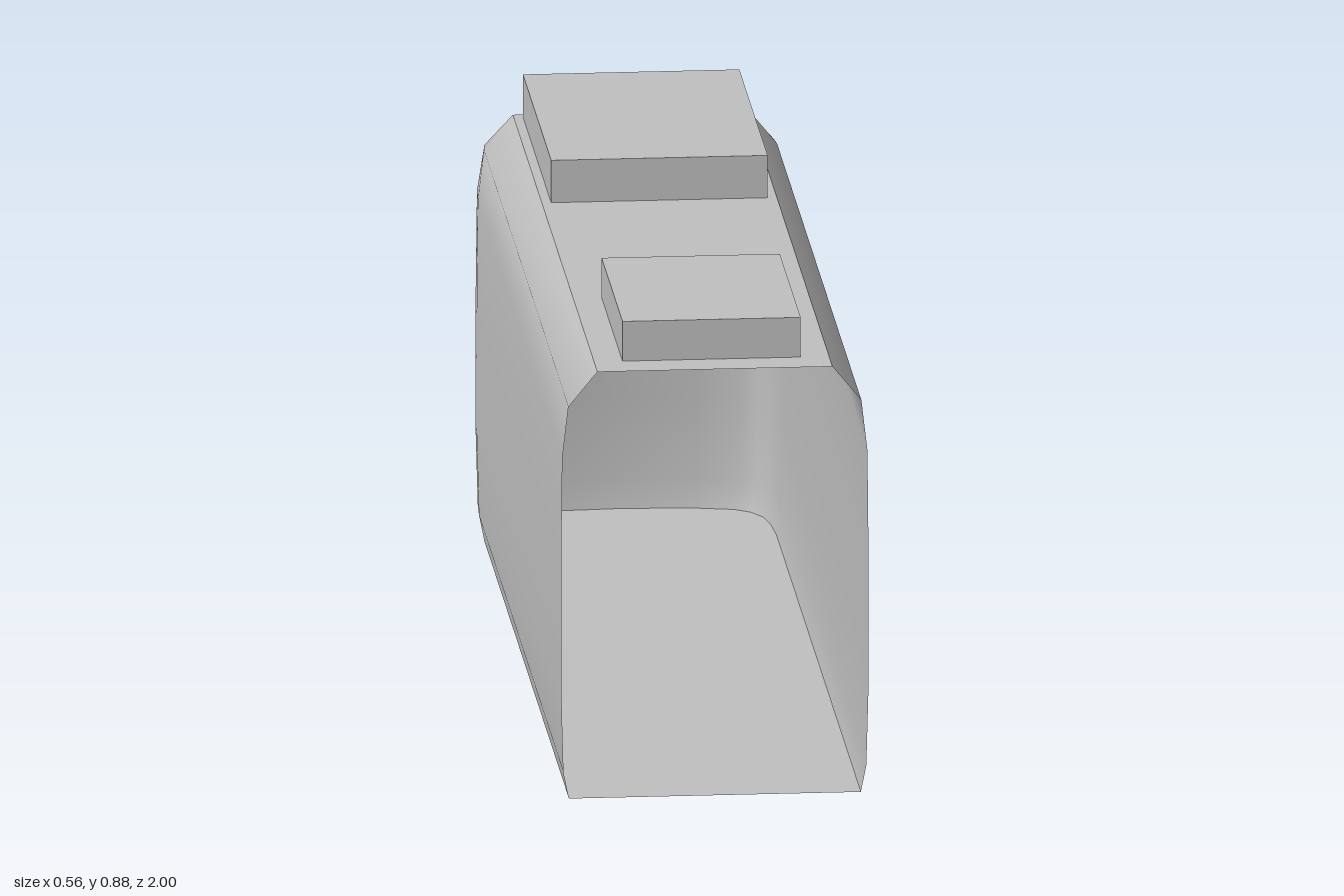
import * as THREE from 'three';

// Shell rows from floor to roof: height, half width, depth of the rounded end
const ROWS = [
  [0, 0.267, 0.205], [0.05, 0.277, 0.214], [0.2, 0.281, 0.22], [0.45, 0.281, 0.208],
  [0.645, 0.279, 0.195], [0.74, 0.268, 0.1], [0.805, 0.215, 0],
];
// Half plan of the rounded end: fraction of half width, fraction of depth
const PLAN = [[1, 0], [0.985, 0.35], [0.95, 0.6], [0.88, 0.77], [0.77, 0.88], [0.48, 0.965], [0, 1]];
const FRONT = 1, JOIN = -0.78, ROOF = 0.805;

// Smooth sheet through a grid of points; rows go up, columns go right seen from outside
function sheet(points) {
  const n = points[0].length, index = [];
  for (let r = 0; r < points.length - 1; r++) {
    for (let c = 0; c < n - 1; c++) {
      const a = r * n + c, b = a + 1, d = a + n, e = d + 1;
      index.push(a, b, e, a, e, d);
    }
  }
  const geometry = new THREE.BufferGeometry();
  geometry.setAttribute('position', new THREE.Float32BufferAttribute(points.flat(2), 3));
  geometry.setIndex(index);
  geometry.computeVertexNormals();
  return geometry;
}

// One row of the rounded end, running from left (+x) to right (-x)
function endRow([y, w, d]) {
  const left = PLAN.map(([fx, fz]) => [fx * w, y, JOIN - fz * d]);
  const right = left.slice(0, -1).reverse().map(([x, h, z]) => [-x, h, z]);
  return [...left, ...right];
}

export function createModel() {
  const model = new THREE.Group();
  const grey = new THREE.MeshStandardMaterial({ color: 0xbfbfbf, side: THREE.DoubleSide });
  grey.name = 'grey';
  const add = (name, geometry) => {
    const mesh = new THREE.Mesh(geometry, grey);
    mesh.name = name;
    model.add(mesh);
    return mesh;
  };

  // Curved side walls, open at the front
  add('leftWall', sheet(ROWS.map(([y, w]) => [[w, y, FRONT], [w, y, JOIN]])));
  add('rightWall', sheet(ROWS.map(([y, w]) => [[-w, y, JOIN], [-w, y, FRONT]])));

  // Rounded closed end
  add('roundedEnd', sheet(ROWS.map(endRow)));

  // Flat roof between the wall tops
  const roofHalf = ROWS[ROWS.length - 1][1];
  add('roof', sheet([FRONT, JOIN].map((z) => [[-roofHalf, ROOF, z], [roofHalf, ROOF, z]])));

  // Floor following the lower edge of the shell
  const w0 = ROWS[0][1];
  const outline = [[w0, 0, FRONT], ...endRow(ROWS[0]), [-w0, 0, FRONT]];
  const floor = new THREE.ShapeGeometry(
    new THREE.Shape(outline.map(([x, , z]) => new THREE.Vector2(x, z))));
  add('floor', floor.rotateX(Math.PI / 2));

  // Equipment boxes on the roof: half width, height, front z, back z
  for (const [name, half, h, z1, z0] of [
    ['frontRoofBox', 0.163, 0.075, 0.93, 0.49],
    ['backRoofBox', 0.198, 0.08, -0.17, -0.765],
  ]) {
    add(name, new THREE.BoxGeometry(half * 2, h, z1 - z0)).position.set(0, ROOF + h / 2, (z0 + z1) / 2);
  }
  return model;
}
